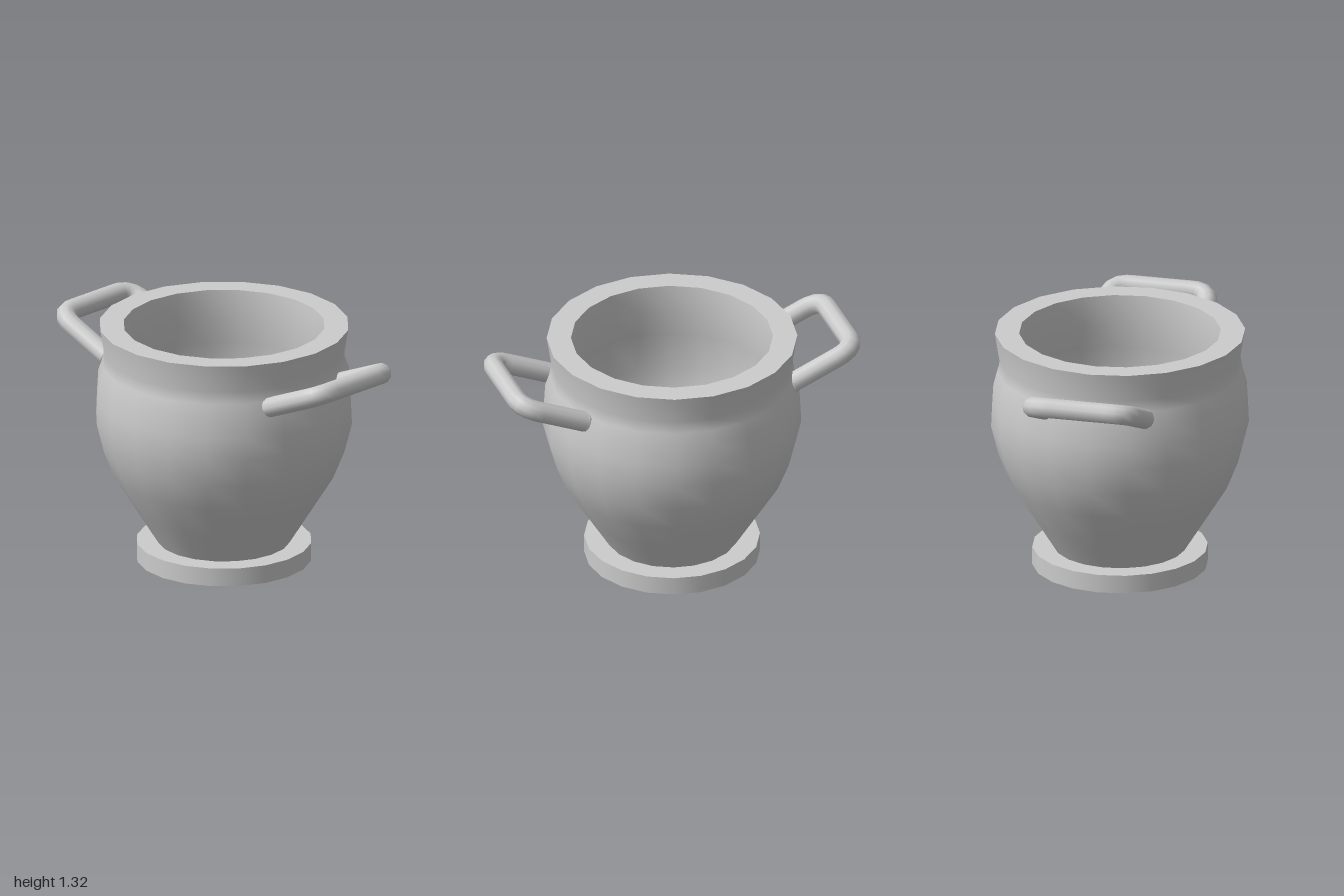
import * as THREE from 'three';

const SIDES = 20;
const material = new THREE.MeshStandardMaterial({ color: 0xcccccc });

function add(parent, geometry, name) {
  const mesh = new THREE.Mesh(geometry, material);
  mesh.name = name;
  parent.add(mesh);
  return mesh;
}

const lathe = (profile) =>
  new THREE.LatheGeometry(profile.map(([r, y]) => new THREE.Vector2(r, y)), SIDES);

// Rounded loop of tube, rising outwards from the shoulder of the pot
function createHandle() {
  const handle = new THREE.Group();
  const radius = 0.055, zFront = 0.26, zBack = -0.285, bend = 0.1;
  const start = 0.59, end = 0.945, rise = 0.425;
  const at = (x, z) => new THREE.Vector3(x, 1.065 + (x - start) * rise, z);

  const path = new THREE.CurvePath();
  path.add(new THREE.LineCurve3(at(start, zFront), at(end - bend, zFront)));
  path.add(new THREE.QuadraticBezierCurve3(
    at(end - bend, zFront), at(end, zFront), at(end, zFront - bend)));
  path.add(new THREE.LineCurve3(at(end, zFront - bend), at(end, zBack + bend)));
  path.add(new THREE.QuadraticBezierCurve3(
    at(end, zBack + bend), at(end, zBack), at(end - bend, zBack)));
  path.add(new THREE.LineCurve3(at(end - bend, zBack), at(start, zBack)));
  add(handle, new THREE.TubeGeometry(path, 32, radius, 10), 'handleLoop');

  // Blunt ends where the loop meets the wall
  for (const z of [zFront, zBack]) {
    const cap = add(handle, new THREE.SphereGeometry(radius, 10, 8), 'handleEnd');
    cap.scale.x = 0.4;
    cap.rotation.z = Math.atan(rise);
    cap.position.copy(at(start, z));
  }
  return handle;
}

export function createModel() {
  const pot = new THREE.Group();
  pot.name = 'pot';

  // Flat round foot
  add(pot, new THREE.CylinderGeometry(0.47, 0.47, 0.1, SIDES), 'foot').position.y = 0.05;

  // Outer wall: narrow base, full shoulder, pinched neck, flared lip
  add(pot, lathe([
    [0.355, 0.1], [0.47, 0.285], [0.588, 0.475], [0.65, 0.63], [0.69, 0.79],
    [0.685, 0.91], [0.678, 1.03], [0.655, 1.1], [0.645, 1.165], [0.67, 1.32],
  ]), 'outerWall');

  // Flat rim
  const rim = add(pot, new THREE.RingGeometry(0.54, 0.67, SIDES), 'rim');
  rim.rotation.x = -Math.PI / 2;
  rim.position.y = 1.32;

  // Hollow inside, running down to a flat floor
  add(pot, lathe([
    [0.54, 1.32], [0.525, 1.16], [0.55, 1.02], [0.56, 0.8], [0.53, 0.64],
    [0.47, 0.48], [0.34, 0.25], [0.3, 0.22], [0, 0.22],
  ]), 'innerWall');

  // Pair of handles, one turned half round from the other
  const left = createHandle();
  left.name = 'leftHandle';
  const right = createHandle();
  right.name = 'rightHandle';
  right.rotation.y = Math.PI;
  pot.add(left, right);

  return pot;
}
